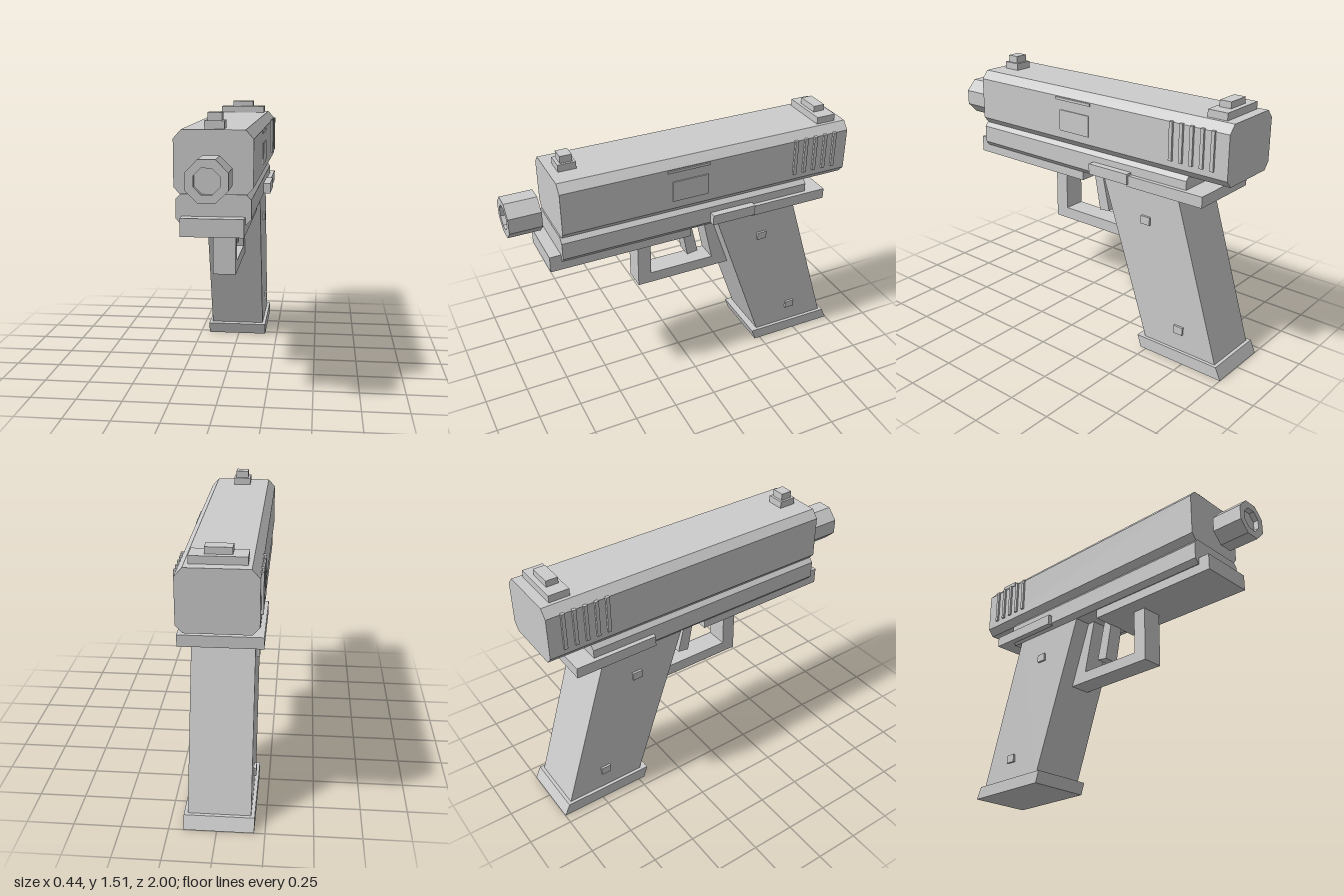
import * as THREE from 'three';

const CX = -0.01; // symmetry plane of the body

export function createModel() {
  const model = new THREE.Group();
  const grey = new THREE.MeshStandardMaterial({ color: 0xcccccc });
  grey.name = 'grey';

  const add = (name, geometry) => {
    const mesh = new THREE.Mesh(geometry, grey);
    mesh.name = name;
    model.add(mesh);
    return mesh;
  };
  const shapeOf = (points) => new THREE.Shape(points.map(([a, b]) => new THREE.Vector2(a, b)));
  const extrude = (shape, depth) =>
    new THREE.ExtrudeGeometry(shape, { depth, bevelEnabled: false });

  // Box given by its limits
  const box = (name, x0, x1, y0, y1, z0, z1) => {
    const g = new THREE.BoxGeometry(x1 - x0, y1 - y0, z1 - z0);
    g.translate((x0 + x1) / 2, (y0 + y1) / 2, (z0 + z1) / 2);
    return add(name, g);
  };
  // Box centred on the symmetry plane
  const midBox = (name, half, y0, y1, z0, z1) => box(name, CX - half, CX + half, y0, y1, z0, z1);

  // Side profile in (z, y), extruded across the width
  const side = (name, half, points) => {
    const g = extrude(shapeOf(points), half * 2);
    g.translate(0, 0, -half).rotateY(-Math.PI / 2).translate(CX, 0, 0);
    return add(name, g);
  };
  // Half of a mirrored front section in (x, y), extruded along the length
  const section = (name, half, z0, z1) => {
    const mirrored = half.map(([x, y]) => [-x, y]).reverse();
    const g = extrude(shapeOf([...half, ...mirrored]), z1 - z0);
    g.translate(CX, 0, z0);
    return add(name, g);
  };
  const octagon = (apothem) => {
    const r = apothem / Math.cos(Math.PI / 8);
    return Array.from({ length: 8 }, (_, i) => {
      const a = (i + 0.5) * Math.PI / 4;
      return [r * Math.cos(a), r * Math.sin(a)];
    });
  };

  // Upper body and frame with chamfered edges
  section('slide', [[0.165, 1.105], [0.2, 1.145], [0.2, 1.385], [0.16, 1.43]], -0.98, 0.748);
  section('frame', [[0.165, 0.96], [0.19, 0.988], [0.19, 1.085], [0.165, 1.112]], -0.735, 0.755);
  midBox('frontRail', 0.16, 0.907, 1.0, -0.01, 0.82);
  midBox('rearPlate', 0.215, 0.975, 1.037, -0.85, -0.37);
  box('sideLever', 0.17, 0.22, 0.99, 1.05, -0.38, -0.115);

  // Eight-sided muzzle with a shallow bore
  const ring = shapeOf(octagon(0.103));
  ring.holes.push(new THREE.Path(octagon(0.063).map(([a, b]) => new THREE.Vector2(a, b))));
  add('muzzleRim', extrude(ring, 0.03).translate(CX, 1.208, 0.97));
  add('muzzle', extrude(shapeOf(octagon(0.103)), 0.15).translate(CX, 1.208, 0.82));

  // Sights
  midBox('frontSightBase', 0.05, 1.43, 1.47, 0.6, 0.7);
  midBox('frontSightPost', 0.037, 1.47, 1.51, 0.615, 0.682);
  midBox('rearSightBase', 0.14, 1.43, 1.47, -0.925, -0.81);
  midBox('rearSightPost', 0.067, 1.47, 1.505, -0.897, -0.83);

  // Raised ribs on both sides of the slide
  for (let i = 0; i < 5; i++) {
    const z = -0.641 - i * 0.0627;
    midBox('slideRib', 0.212, 1.18, 1.39, z - 0.01, z + 0.01);
  }

  // Side port plate and its upper lip
  box('portPlate', 0.185, 0.196, 1.19, 1.31, -0.09, 0.12);
  box('portLip', 0.185, 0.196, 1.365, 1.38, -0.1, 0.15);

  // Raked grip, base plate and pins
  side('grip', 0.165, [[-0.485, 0.06], [-0.17, 0.97], [-0.67, 0.97], [-0.952, 0.06]]);
  side('gripBase', 0.184, [[-0.464, 0], [-0.44, 0.07], [-0.968, 0.07], [-1, 0]]);
  for (const [y, z] of [[0.79, -0.47], [0.198, -0.71]]) {
    midBox('gripPin', 0.178, y - 0.023, y + 0.023, z - 0.029, z + 0.029);
  }

  // Trigger guard and trigger
  side('triggerGuard', 0.064, [
    [0.28, 0.92], [0.2, 0.92], [0.2, 0.65], [-0.195, 0.65], [-0.125, 0.965],
    [-0.19, 0.965], [-0.32, 0.585], [0.28, 0.585],
  ]);
  side('trigger', 0.045, [[0.007, 0.96], [-0.053, 0.955], [-0.11, 0.707], [-0.043, 0.697]]);

  return model;
}
